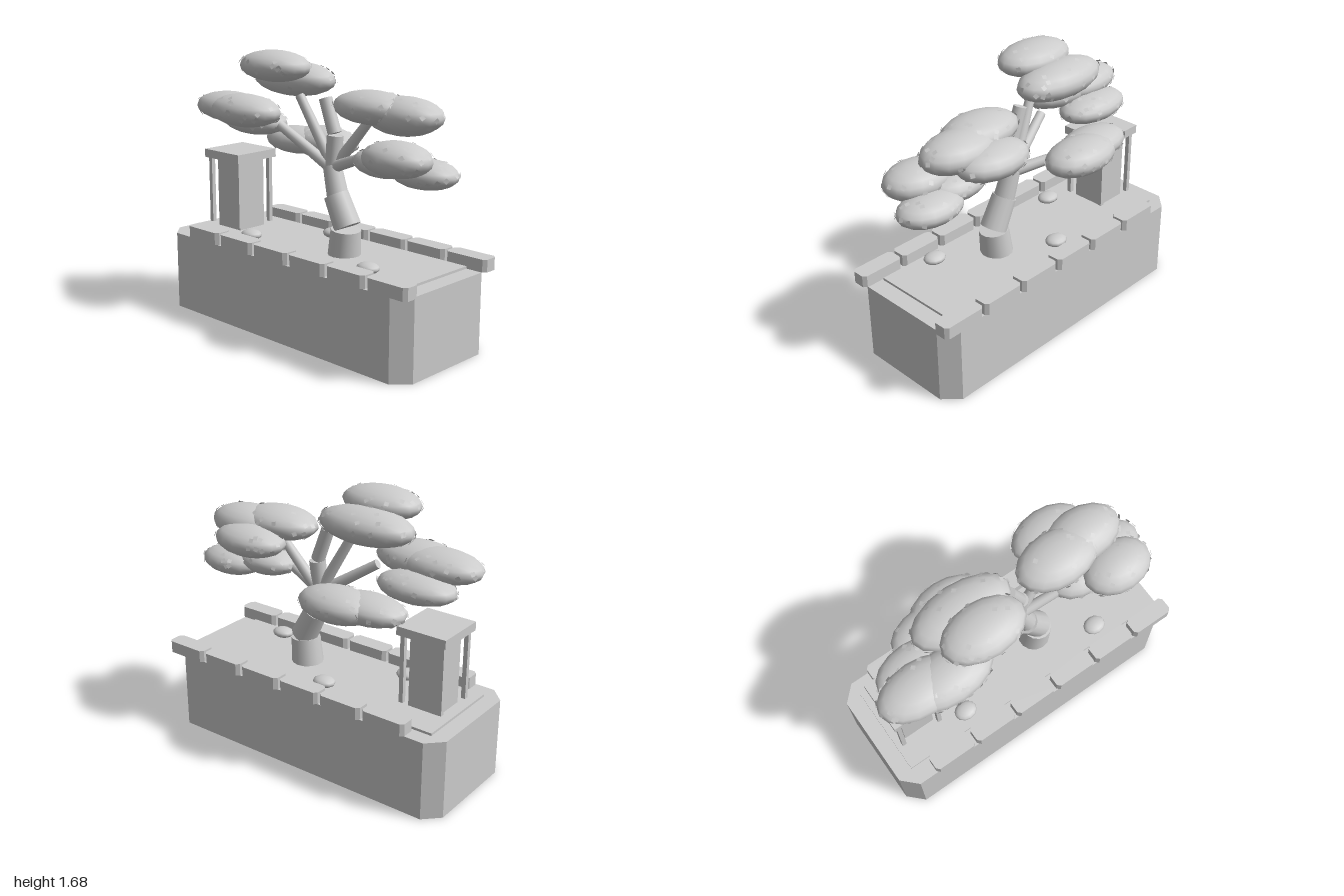
import * as THREE from 'three';
import { mergeGeometries } from 'three/addons/utils/BufferGeometryUtils.js';

const grey = new THREE.MeshStandardMaterial({ color: 0xcccccc, side: THREE.DoubleSide });
grey.name = 'plain grey';

function add(parent, name, geometry, x = 0, y = 0, z = 0) {
  const mesh = new THREE.Mesh(geometry, grey);
  mesh.name = name;
  mesh.position.set(x, y, z);
  parent.add(mesh);
  return mesh;
}

// Corners of a rectangle with cut corners
function cutRect(x0, x1, z0, z1, c) {
  return [[x0 + c, z0], [x1 - c, z0], [x1, z0 + c], [x1, z1 - c],
    [x1 - c, z1], [x0 + c, z1], [x0, z1 - c], [x0, z0 + c]].map(p => new THREE.Vector2(...p));
}

// Flat-sided planter shell, closed on top and open underneath
function planterShell(points, height) {
  const parts = points.map((a, i) => {
    const b = points[(i + 1) % points.length];
    const wall = new THREE.PlaneGeometry(a.distanceTo(b), height);
    wall.rotateY(Math.atan2(b.y - a.y, a.x - b.x));
    return wall.translate((a.x + b.x) / 2, height / 2, (a.y + b.y) / 2);
  });
  const flipped = points.map(p => new THREE.Vector2(p.x, -p.y));
  const top = new THREE.ShapeGeometry(new THREE.Shape(flipped));
  parts.push(top.rotateX(-Math.PI / 2).translate(0, height, 0));
  return mergeGeometries(parts);
}

// Tapered limb between two points
function limb(parent, name, from, to, r0, r1) {
  const a = new THREE.Vector3(...from), b = new THREE.Vector3(...to);
  const mesh = add(parent, name, new THREE.CylinderGeometry(r1, r0, a.distanceTo(b), 14));
  mesh.position.copy(a).add(b).multiplyScalar(0.5);
  mesh.quaternion.setFromUnitVectors(new THREE.Vector3(0, 1, 0), b.sub(a).normalize());
}

let seed = 7;
function random() {
  seed = (seed * 16807) % 2147483647;
  return seed / 2147483647;
}

// Small diamond leaves lying on the surface of an ellipsoid
function leaves(rx, ry, rz, count) {
  const parts = [];
  for (let i = 0; i < count; i++) {
    const y = 0.9 - 1.4 * random(), angle = random() * Math.PI * 2, r = Math.sqrt(1 - y * y);
    const p = new THREE.Vector3(rx * r * Math.cos(angle), ry * y, rz * r * Math.sin(angle));
    const normal = new THREE.Vector3(p.x / rx ** 2, p.y / ry ** 2, p.z / rz ** 2).normalize();
    const leaf = new THREE.PlaneGeometry(0.026, 0.026).rotateZ(Math.PI / 4);
    leaf.rotateX((random() - 0.5) * 0.5);
    leaf.applyQuaternion(new THREE.Quaternion().setFromUnitVectors(new THREE.Vector3(0, 0, 1), normal));
    p.addScaledVector(normal, 0.003);
    parts.push(leaf.translate(p.x, p.y, p.z));
  }
  return mergeGeometries(parts);
}

export function createModel() {
  const model = new THREE.Group();
  model.name = 'planterWithTree';

  // Planter and soil
  add(model, 'planter', planterShell(cutRect(-1, 0.975, -0.375, 0.4, 0.093), 0.49));
  add(model, 'soil', new THREE.BoxGeometry(1.77, 0.03, 0.57), -0.015, 0.49, 0.005);

  // Coping stones along both long edges
  const coping = new THREE.ExtrudeGeometry(
    new THREE.Shape(cutRect(-0.141, 0.141, -0.055, 0.055, 0.02)),
    { depth: 0.075, bevelEnabled: false });
  coping.rotateX(-Math.PI / 2);
  for (const z of [0.355, -0.337]) {
    for (let i = 0; i < 6; i++) add(model, 'copingStone', coping, -0.643 + 0.3 * i, 0.49, z);
  }

  // Small shrine with four posts
  const shrine = new THREE.Group();
  shrine.name = 'shrine';
  shrine.position.set(-0.724, 0, 0.012);
  model.add(shrine);
  add(shrine, 'shrineRoof', new THREE.BoxGeometry(0.32, 0.053, 0.32), 0, 0.983, 0);
  add(shrine, 'shrineBody', new THREE.BoxGeometry(0.205, 0.46, 0.205), 0, 0.73, 0);
  for (const sx of [-1, 1]) {
    for (const sz of [-1, 1]) {
      add(shrine, 'shrinePost', new THREE.BoxGeometry(0.027, 0.425, 0.027), sx * 0.129, 0.745, sz * 0.129);
    }
  }

  // Pebbles on the soil
  for (const [x, z] of [[-0.43, 0.19], [-0.09, -0.19], [0.55, 0.2]]) {
    add(model, 'pebble', new THREE.SphereGeometry(1, 12, 8), x, 0.533, z).scale.set(0.072, 0.031, 0.06);
  }

  // Trunk in leaning sections, then branches
  const tree = new THREE.Group();
  tree.name = 'tree';
  model.add(tree);
  limb(tree, 'trunk', [0.205, 0.49, 0.025], [0.222, 0.66, 0.03], 0.1, 0.09);
  limb(tree, 'trunk', [0.23, 0.674, 0.025], [0.137, 0.853, 0.025], 0.083, 0.075);
  limb(tree, 'trunk', [0.15, 0.83, 0.02], [0.09, 1.02, 0.01], 0.066, 0.056);
  limb(tree, 'trunk', [0.09, 0.99, 0.01], [0.105, 1.2, 0], 0.045, 0.05);
  limb(tree, 'trunk', [0.1, 1.21, 0], [0.025, 1.41, 0], 0.042, 0.04);
  const branches = [
    [[0.09, 1.0, 0.01], [-0.26, 1.23, 0.1]],
    [[0.08, 1.02, 0], [-0.13, 1.42, 0.06]],
    [[0.08, 1.01, 0], [-0.19, 1.09, -0.17]],
    [[0.1, 1.01, 0], [0.33, 1.31, -0.05]],
    [[0.1, 1.01, 0.01], [0.45, 1.14, 0.07]],
  ];
  for (const [from, to] of branches) limb(tree, 'branch', from, to, 0.036, 0.028);

  // Foliage pads: centre x, y, z and radii x, y, z
  const pads = [
    [-0.245, 1.59, 0.15, 0.255, 0.093, 0.163],
    [-0.267, 1.5, -0.03, 0.312, 0.105, 0.165],
    [-0.66, 1.305, 0.14, 0.268, 0.092, 0.16],
    [-0.5, 1.3, 0.17, 0.28, 0.1, 0.163],
    [-0.6, 1.205, -0.01, 0.25, 0.085, 0.15],
    [-0.4, 1.085, -0.19, 0.245, 0.085, 0.15],
    [-0.23, 1.085, -0.245, 0.255, 0.1, 0.163],
    [0.37, 1.39, -0.02, 0.26, 0.097, 0.17],
    [0.575, 1.363, -0.07, 0.25, 0.105, 0.165],
    [0.45, 1.31, -0.2, 0.24, 0.095, 0.16],
    [0.695, 1.16, 0.14, 0.22, 0.1, 0.163],
    [0.755, 1.065, -0.025, 0.215, 0.085, 0.15],
    [0.52, 1.1, 0.03, 0.21, 0.085, 0.145],
  ];
  const ball = new THREE.SphereGeometry(1, 16, 10);
  for (const [x, y, z, rx, ry, rz] of pads) {
    add(tree, 'foliagePad', ball, x, y, z).scale.set(rx, ry, rz);
    add(tree, 'leaves', leaves(rx, ry, rz, 32), x, y, z);
  }
  return model;
}
